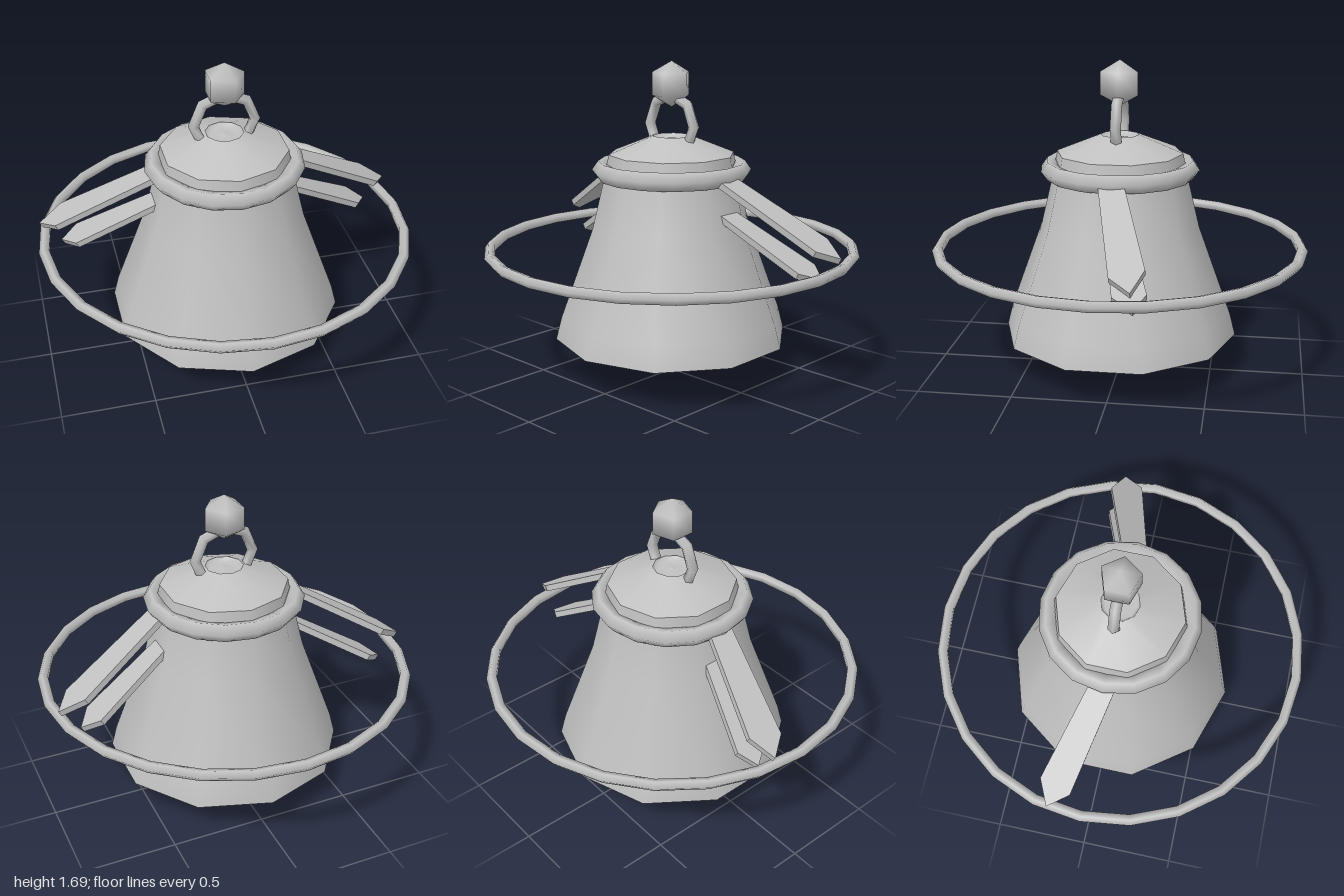
import * as THREE from 'three';

export function createModel() {
  const model = new THREE.Group();
  const grey = new THREE.MeshStandardMaterial({ color: 0xc0c0c0, side: THREE.DoubleSide });
  grey.name = 'grey metal';

  function add(name, geometry, y = 0) {
    const mesh = new THREE.Mesh(geometry, grey);
    mesh.name = name;
    mesh.position.y = y;
    model.add(mesh);
    return mesh;
  }

  // Ten-sided turned part, listed from bottom to top as [radius, height]
  const turned = (points) =>
    new THREE.LatheGeometry(points.map(([r, y]) => new THREE.Vector2(r, y)), 10);
  const flatRing = (radius, tube, segments) =>
    new THREE.TorusGeometry(radius, tube, 5, segments).rotateX(Math.PI / 2);

  // Bell body, with an open mouth and a stepped cap
  add('bellBody', turned([[0.63, 0.213], [0.6, 0.33], [0.425, 0.81], [0.36, 1.08], [0.345, 1.16]]));
  add('capBand', turned([[0.345, 1.15], [0.335, 1.205]]));
  add('capSlope', turned([[0.335, 1.205], [0.1, 1.3]]));
  add('capRecess', turned([[0.1, 1.3], [0.08, 1.275], [0, 1.29]].reverse()));

  // Shallow plate closing the mouth
  add('mouthPlate', new THREE.SphereGeometry(0.6, 10, 3).scale(1, 0.1, 1), 0.21);

  // Rings
  add('collar', flatRing(0.372, 0.05, 16), 1.12);
  add('halo', flatRing(0.97, 0.03, 24), 0.7);
  add('handleLoop', new THREE.TorusGeometry(0.16, 0.03, 5, 8), 1.355);

  // Faceted balls above the handle and below the mouth
  for (const [name, y] of [['topBall', 1.57], ['clapperBall', 0.12]]) {
    add(name, new THREE.SphereGeometry(0.12, 5, 3).rotateY(Math.PI), y);
  }

  // Pointed wing planks: outline as [x, z], lying on a 30 degree slope
  const slope = Math.PI / 6, thickness = 0.034;
  const planks = [
    ['upperWing', 1.314, [[0.33, 0.07], [0.89, -0.07], [0.965, -0.18], [0.84, -0.235], [0.33, -0.06]]],
    ['lowerWing', 1.126, [[0.33, 0.04], [0.79, -0.07], [0.857, -0.178], [0.767, -0.235], [0.33, -0.08]]],
  ];
  for (const [name, y, outline] of planks) {
    for (const side of [1, -1]) {
      const shape = new THREE.Shape(
        outline.map(([x, z]) => new THREE.Vector2((side * x) / Math.cos(slope), -z)));
      const plank = new THREE.ExtrudeGeometry(shape, { depth: thickness, bevelEnabled: false });
      plank.translate(0, 0, -thickness / 2).rotateX(-Math.PI / 2).rotateZ(-side * slope);
      add(name + (side > 0 ? 'Left' : 'Right'), plank, y);
    }
  }
  return model;
}
